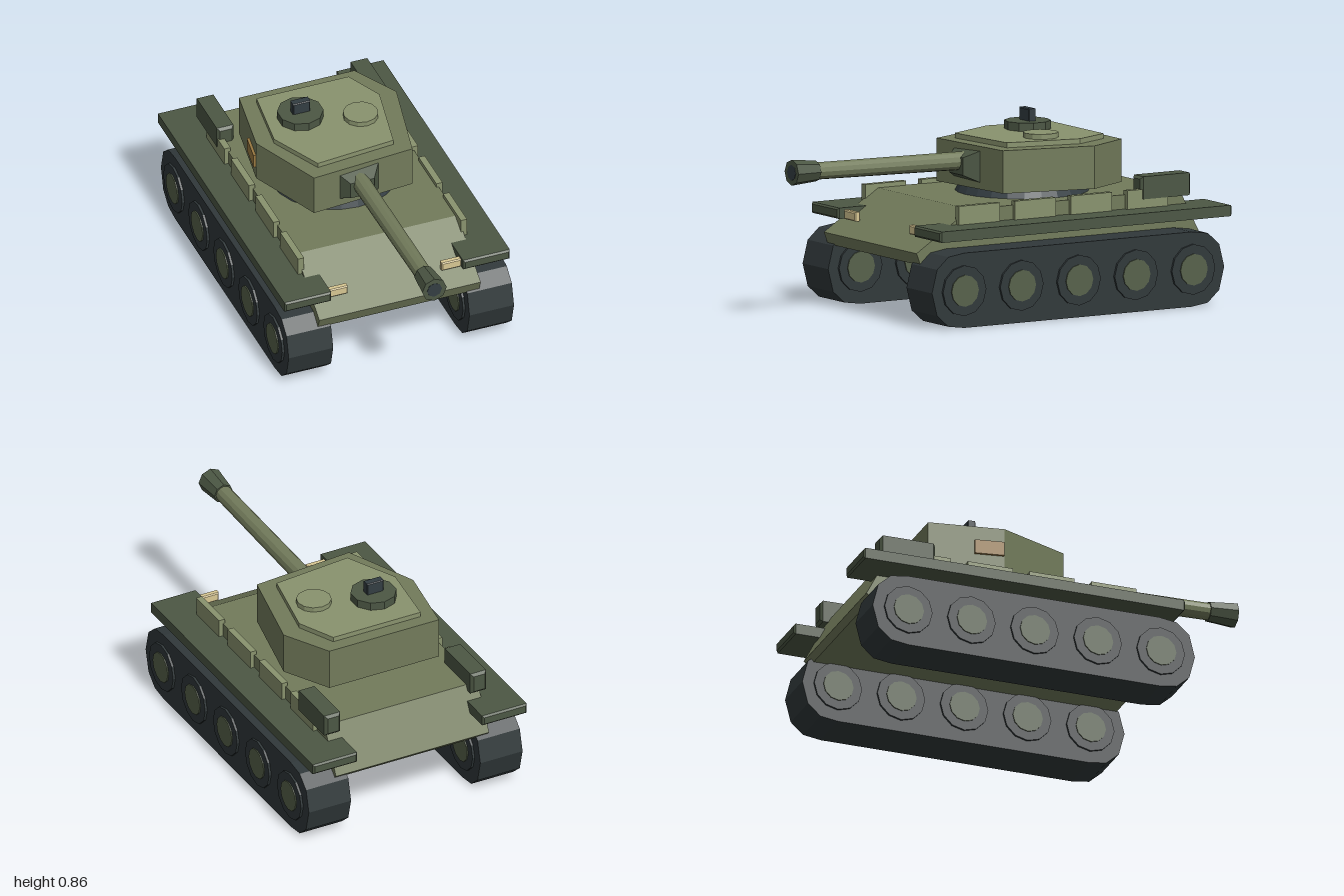
import * as THREE from 'three';

const paint = (color) => new THREE.MeshStandardMaterial({ color, flatShading: true });
const olive = paint(0x727b5b), light = paint(0x89936e), dark = paint(0x4c5744);
const rubber = paint(0x30383a), steel = paint(0x333d42);
const lamp = paint(0xd8c793), badge = paint(0x9a7a42), hubGreen = paint(0x56614a);

function add(parent, name, geometry, material, x = 0, y = 0, z = 0) {
  const mesh = new THREE.Mesh(geometry, material);
  mesh.name = name;
  mesh.position.set(x, y, z);
  parent.add(mesh);
  return mesh;
}

const shapeOf = (points) => new THREE.Shape(points.map(([a, b]) => new THREE.Vector2(a, b)));

// Side profile of [z, y] points, extruded across x and centred
function sideProfile(points, width) {
  const g = new THREE.ExtrudeGeometry(shapeOf(points), { depth: width, bevelEnabled: false });
  return g.translate(0, 0, -width / 2).rotateY(-Math.PI / 2);
}

// Plan outline of [x, z] points, extruded upwards
function planPrism(points, height) {
  const g = new THREE.ExtrudeGeometry(shapeOf(points.map(([x, z]) => [x, -z])), { depth: height, bevelEnabled: false });
  return g.rotateX(-Math.PI / 2);
}

// Box with chamfered edges
function chamferBox(w, h, d, c) {
  const a = w / 2 - c, b = h / 2 - c;
  const g = new THREE.ExtrudeGeometry(shapeOf([[-a, -b], [a, -b], [a, b], [-a, b]]), {
    depth: d - 2 * c, bevelEnabled: true, bevelSize: c, bevelThickness: c, bevelSegments: 1,
  });
  return g.translate(0, 0, -d / 2 + c);
}

// Cylinder lying along x
const axle = (r, length, sides) => new THREE.CylinderGeometry(r, r, length, sides).rotateZ(Math.PI / 2);

function addRunningGear(parent, side) {
  const gear = new THREE.Group();
  gear.name = side > 0 ? 'leftTrack' : 'rightTrack';
  parent.add(gear);
  const x = side * 0.437;

  // Track loop: one quarter corner mirrored to all four
  const mid = -0.179, half = 0.776, r = 0.17;
  const corner = [[half, 0], [half - 0.027, 0.105], [half - 0.087, 0.158], [half - 0.172, r]];
  const top = [...corner, ...corner.map(([a, b]) => [-a, b]).reverse()];
  const bottom = top.slice(1, -1).map(([a, b]) => [a, -b]).reverse();
  const loop = [...top, ...bottom].map(([a, b]) => [mid + a, r + b]);
  add(gear, 'trackBelt', sideProfile(loop, 0.215), rubber, x);

  // Road wheels show on both faces of the belt
  for (let i = 0; i < 5; i++) {
    const z = 0.43 - i * 0.304;
    add(gear, 'wheelRim', axle(0.115, 0.236, 12), rubber, x, 0.17, z);
    add(gear, 'wheelHub', axle(0.072, 0.246, 12), hubGreen, x, 0.17, z);
  }
}

function addSideFittings(parent, side) {
  add(parent, 'fender', chamferBox(0.226, 0.05, 1.55, 0.008), dark, side * 0.432, 0.42, -0.223);
  add(parent, 'headlight', chamferBox(0.094, 0.042, 0.03, 0.005), lamp, side * 0.274, 0.414, 0.505);
  for (let i = 0; i < 4; i++) {
    add(parent, 'sidePanel', new THREE.BoxGeometry(0.03, 0.1, 0.217), light, side * 0.394, 0.48, 0.26 - i * 0.298);
  }
  add(parent, 'rearStowageBox', chamferBox(0.08, 0.103, 0.267, 0.012), dark, side * 0.372, 0.536, -0.732);
}

function addTurret(parent) {
  const turret = new THREE.Group();
  turret.name = 'turret';
  parent.add(turret);
  add(turret, 'turretRing', new THREE.CylinderGeometry(0.285, 0.305, 0.045, 24), steel, 0, 0.526, -0.225);
  const body = [[-0.31, -0.597], [0.248, -0.597], [0.365, -0.38], [0.272, 0.048], [-0.22, 0.09], [-0.365, -0.25]];
  add(turret, 'turretBody', planPrism(body, 0.195), olive, 0, 0.545, 0);
  const roof = [[-0.25, -0.535], [0.195, -0.535], [0.275, -0.36], [0.205, -0.015], [-0.175, 0.022], [-0.29, -0.22]];
  add(turret, 'turretRoof', planPrism(roof, 0.025), light, 0, 0.738, 0);

  // Roof fittings
  add(turret, 'cupola', new THREE.CylinderGeometry(0.105, 0.105, 0.042, 10), dark, -0.12, 0.78, -0.33);
  add(turret, 'periscope', chamferBox(0.084, 0.062, 0.038, 0.004), steel, -0.12, 0.826, -0.33);
  add(turret, 'hatch', new THREE.CylinderGeometry(0.08, 0.08, 0.026, 12), light, 0.135, 0.773, -0.238);

  // Plate lying against the right wall
  const plate = add(turret, 'wallPlate', new THREE.BoxGeometry(0.022, 0.066, 0.135), badge, -0.355, 0.638, -0.32);
  plate.rotation.y = -Math.atan2(0.055, 0.347);

  // Gun shield: square frustum tapering forwards
  const shield = new THREE.CylinderGeometry(0.5, 1, 0.08, 4).rotateY(Math.PI / 4).rotateX(Math.PI / 2);
  shield.scale(0.114 * Math.SQRT2, 0.08 * Math.SQRT2, 1);
  add(turret, 'gunShield', shield, dark, 0, 0.647, 0.085);

  // Gun, raised slightly
  const gun = new THREE.Group();
  gun.name = 'gun';
  gun.position.set(0, 0.665, 0.07);
  gun.rotation.x = -0.018;
  turret.add(gun);
  const tube = (r0, r1, len, sides) => new THREE.CylinderGeometry(r1, r0, len, sides).rotateX(Math.PI / 2);
  add(gun, 'barrel', tube(0.042, 0.039, 0.85, 12), olive, 0, 0, 0.425);
  add(gun, 'muzzle', tube(0.047, 0.059, 0.129, 8), dark, 0, 0, 0.865);
  add(gun, 'bore', tube(0.036, 0.036, 0.01, 8), steel, 0, 0, 0.926);
}

export function createModel() {
  const tank = new THREE.Group();
  tank.name = 'tank';

  // Hull with sloped nose and tail
  const hull = [[0.56, 0.275], [0.582, 0.33], [0.3, 0.51], [-0.815, 0.51], [-0.925, 0.3], [-0.9, 0.275]];
  add(tank, 'hull', sideProfile(hull, 0.78), olive);

  for (const side of [1, -1]) {
    addRunningGear(tank, side);
    addSideFittings(tank, side);
  }
  addTurret(tank);
  return tank;
}
